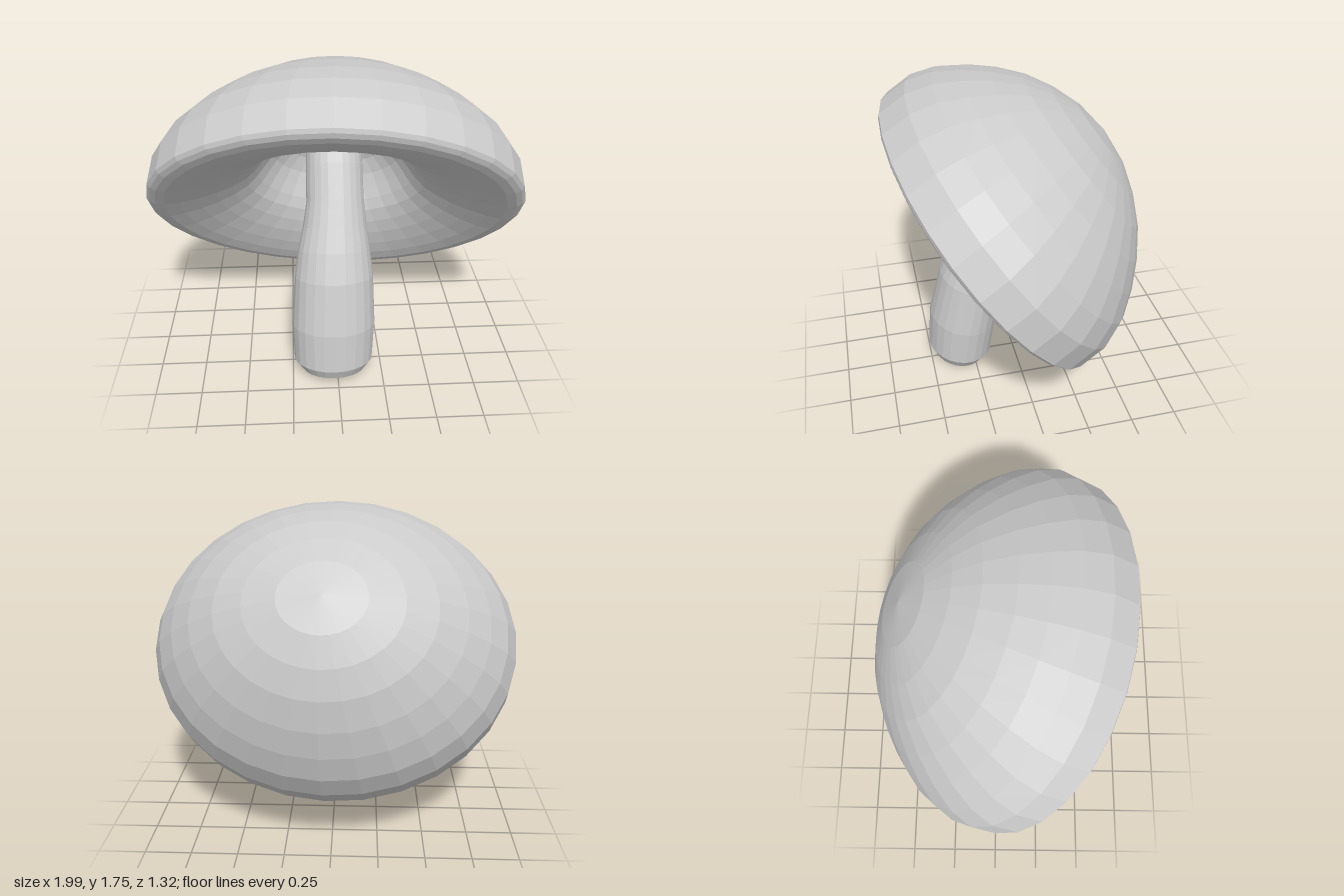
import * as THREE from 'three';

const STRETCH = 1.176; // cap and stem are oval: wider across x than in depth

function material() {
  return new THREE.MeshStandardMaterial({ color: 0xcccccc, flatShading: true });
}

// Cap: one closed profile, from the cavity ceiling over the rounded lip to the crown
function createCap() {
  const cavity = [
    [0, 0.47], [0.16, 0.435], [0.24, 0.385], [0.3, 0.32], [0.335, 0.26], [0.37, 0.195],
    [0.41, 0.14], [0.47, 0.09], [0.54, 0.047], [0.62, 0.01], [0.7, -0.018],
    [0.77, -0.033], [0.81, -0.03], [0.835, -0.018],
  ];
  const dome = [
    [0.85, 0], [0.842, 0.16], [0.79, 0.292], [0.705, 0.412], [0.602, 0.524],
    [0.475, 0.63], [0.34, 0.705], [0.19, 0.76], [0, 0.786],
  ];
  const profile = [...cavity, ...dome].map(([r, h]) => new THREE.Vector2(r, h));
  const cap = new THREE.Mesh(new THREE.LatheGeometry(profile, 30), material());
  cap.name = 'cap';
  cap.position.set(0, 0.935, 0.13);
  cap.rotation.set(-0.898, -0.07, 0, 'YXZ'); // leans back and turns a little sideways
  cap.scale.x = STRETCH;
  return cap;
}

// Stem: round cross-sections along a path that bends backwards
function createStem() {
  const sides = 24;
  // x, y, z, radius
  const rows = [
    [-0.018, 0.022, 0.333, 0.15], [-0.018, 0.085, 0.322, 0.186], [-0.016, 0.3, 0.295, 0.194],
    [-0.012, 0.57, 0.238, 0.182], [-0.009, 0.71, 0.19, 0.166], [-0.004, 0.83, 0.145, 0.146],
    [0, 0.95, 0.095, 0.132], [0, 1.12, 0.005, 0.129], [0, 1.28, -0.1, 0.128],
    [0, 1.4, -0.19, 0.127],
  ];
  const positions = [];
  const index = [];
  rows.forEach(([x, y, z, r], i) => {
    const before = rows[Math.max(i - 1, 0)];
    const after = rows[Math.min(i + 1, rows.length - 1)];
    const lean = Math.atan2(after[2] - before[2], after[1] - before[1]);
    for (let j = 0; j < sides; j++) {
      const a = (j / sides) * Math.PI * 2;
      const s = r * Math.sin(a);
      positions.push(x + r * Math.cos(a), y - s * Math.sin(lean), z + s * Math.cos(lean));
      if (i < rows.length - 1) {
        const p = i * sides + j;
        const q = i * sides + ((j + 1) % sides);
        index.push(p, p + sides, q, q, p + sides, q + sides);
      }
    }
  });
  // flat ends
  const top = (rows.length - 1) * sides;
  for (let j = 1; j < sides - 1; j++) {
    index.push(0, j, j + 1, top, top + j + 1, top + j);
  }
  const geometry = new THREE.BufferGeometry();
  geometry.setAttribute('position', new THREE.Float32BufferAttribute(positions, 3));
  geometry.setIndex(index);
  geometry.computeVertexNormals();
  const stem = new THREE.Mesh(geometry, material());
  stem.name = 'stem';
  stem.scale.x = STRETCH;
  return stem;
}

export function createModel() {
  const mushroom = new THREE.Group();
  mushroom.name = 'mushroom';
  mushroom.add(createCap(), createStem());
  return mushroom;
}
